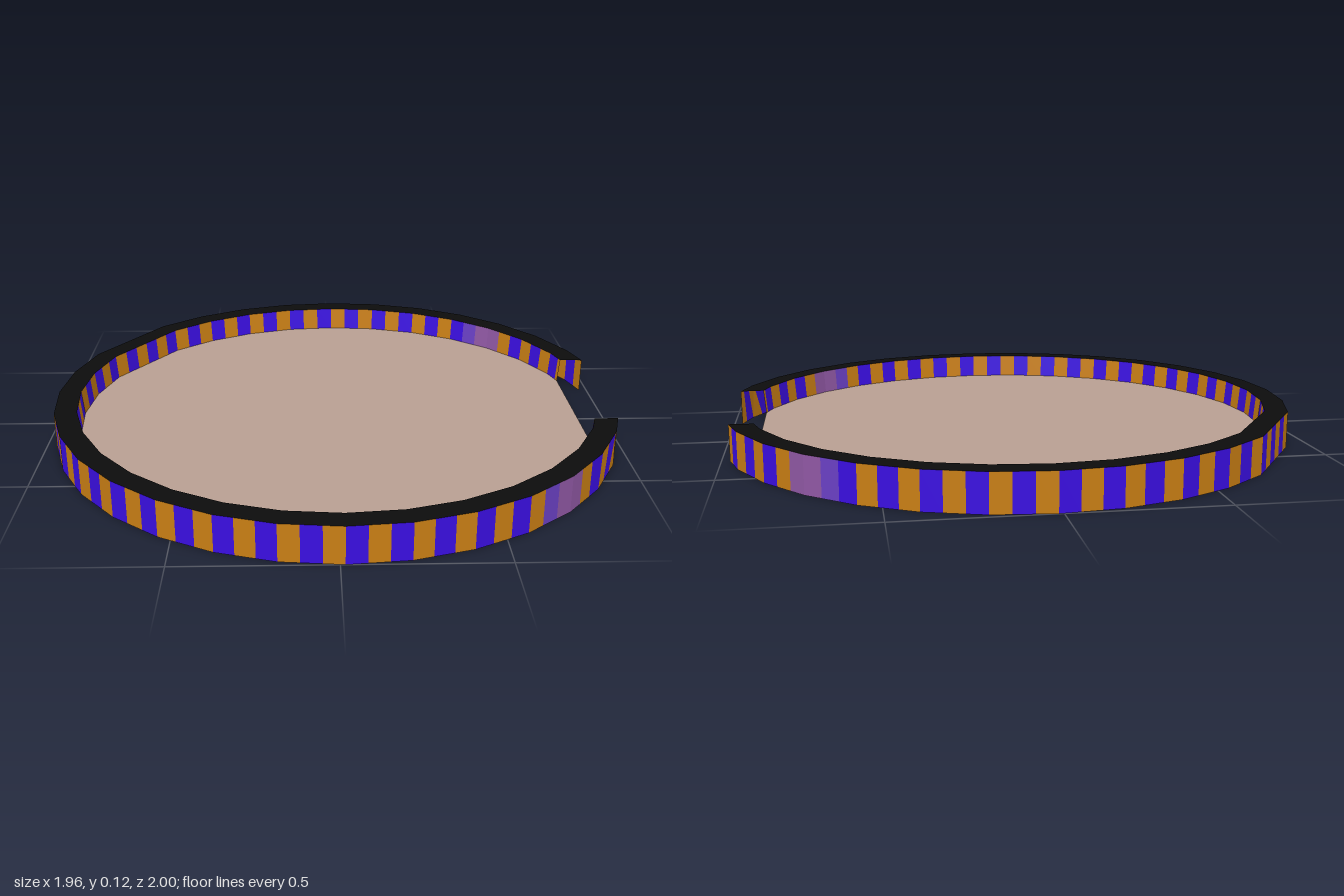
import * as THREE from 'three';

const CX = 0.015;          // ring centre
const FACET = 11.25;       // degrees per side of the ring
const STRIPE = FACET / 3;  // three stripes on every side
const COUNT = 96;

const mat = (name, hex) => {
  const m = new THREE.MeshStandardMaterial({ color: hex, side: THREE.DoubleSide });
  m.name = name;
  return m;
};

// Point on the faceted ring; one longer straight side sits at the back right.
function ringPoint(deg, { r, y, end }) {
  const t = Math.min(Math.max(deg, end), 360 - end);
  let a = Math.floor(t / FACET) * FACET, b = a + FACET;
  if (t >= 202.5 && t < 225) { a = 202.5; b = 225; }
  const f = (t - a) / (b - a);
  const at = (d) => new THREE.Vector3(
    CX + r * Math.cos(d * Math.PI / 180), y, r * Math.sin(d * Math.PI / 180));
  return at(a).lerp(at(b), f);
}

// Joins two ring edges over the chosen stripe steps.
function band(from, to, steps, skew = () => 0) {
  const pos = [];
  for (const i of steps) {
    const t0 = i * STRIPE, t1 = t0 + STRIPE;
    if (t1 <= from.end || t0 >= 360 - from.end) continue;
    const a = ringPoint(t0, from), b = ringPoint(t0 + skew(t0), to);
    const c = ringPoint(t1 + skew(t1), to), d = ringPoint(t1, from);
    for (const p of [a, b, c, a, c, d]) pos.push(p.x, p.y, p.z);
  }
  const g = new THREE.BufferGeometry();
  g.setAttribute('position', new THREE.Float32BufferAttribute(pos, 3));
  g.computeVertexNormals();
  return g;
}

// Colour of each stripe, with a faded patch on both sides of the opening.
function stripeColour(i) {
  const m = Math.min(i, COUNT - 1 - i);
  if (m === 11 || m === 12) return 'mauve';
  if (m === 13) return 'violet';
  const odd = i % 2 === 1;
  return (i > 84 ? !odd : odd) ? 'blue' : 'orange';
}

export function createModel() {
  const group = new THREE.Group();
  group.name = 'stripedRing';
  const colours = {
    orange: mat('orange', 0xc87e14),
    blue: mat('blue', 0x3a0ee0),
    mauve: mat('mauve', 0x9058a4),
    violet: mat('violet', 0x6a40c4),
  };
  const black = mat('black', 0x0c0c0c);
  const sand = mat('sand', 0xb89f92);
  const add = (name, geometry, material) => {
    const mesh = new THREE.Mesh(geometry, material);
    mesh.name = name;
    group.add(mesh);
  };

  const all = Array.from({ length: COUNT }, (_, i) => i);
  const outerLow = { r: 1, y: 0, end: 16 };
  const outerTop = { r: 1, y: 0.125, end: 16 };
  const innerTop = { r: 0.922, y: 0.125, end: 17.6 };
  const innerLow = { r: 0.914, y: 0.04, end: 17.6 };
  // Stripes lean a little beside the front end of the opening
  const lean = (t) => -3 * Math.max(0, 1 - Math.abs(t - 26) / 11);

  // Hollow curb: striped walls with a black rim on top
  for (const [name, material] of Object.entries(colours)) {
    const steps = all.filter((i) => stripeColour(i) === name);
    add(`outerWall_${name}`, band(outerLow, outerTop, steps, lean), material);
    add(`innerWall_${name}`, band(innerTop, innerLow, steps), material);
  }
  add('rim', band(outerTop, innerTop, all), black);

  // Thin floor, cut straight across the opening
  const edge = all.filter((i) => i >= 4 && i <= 92).map((i) => {
    const p = ringPoint(i * STRIPE, innerLow);
    return new THREE.Vector2(p.x, -p.z);
  });
  const floor = new THREE.ShapeGeometry(new THREE.Shape(edge));
  floor.rotateX(-Math.PI / 2).translate(0, innerLow.y, 0);
  add('floor', floor, sand);

  return group;
}
